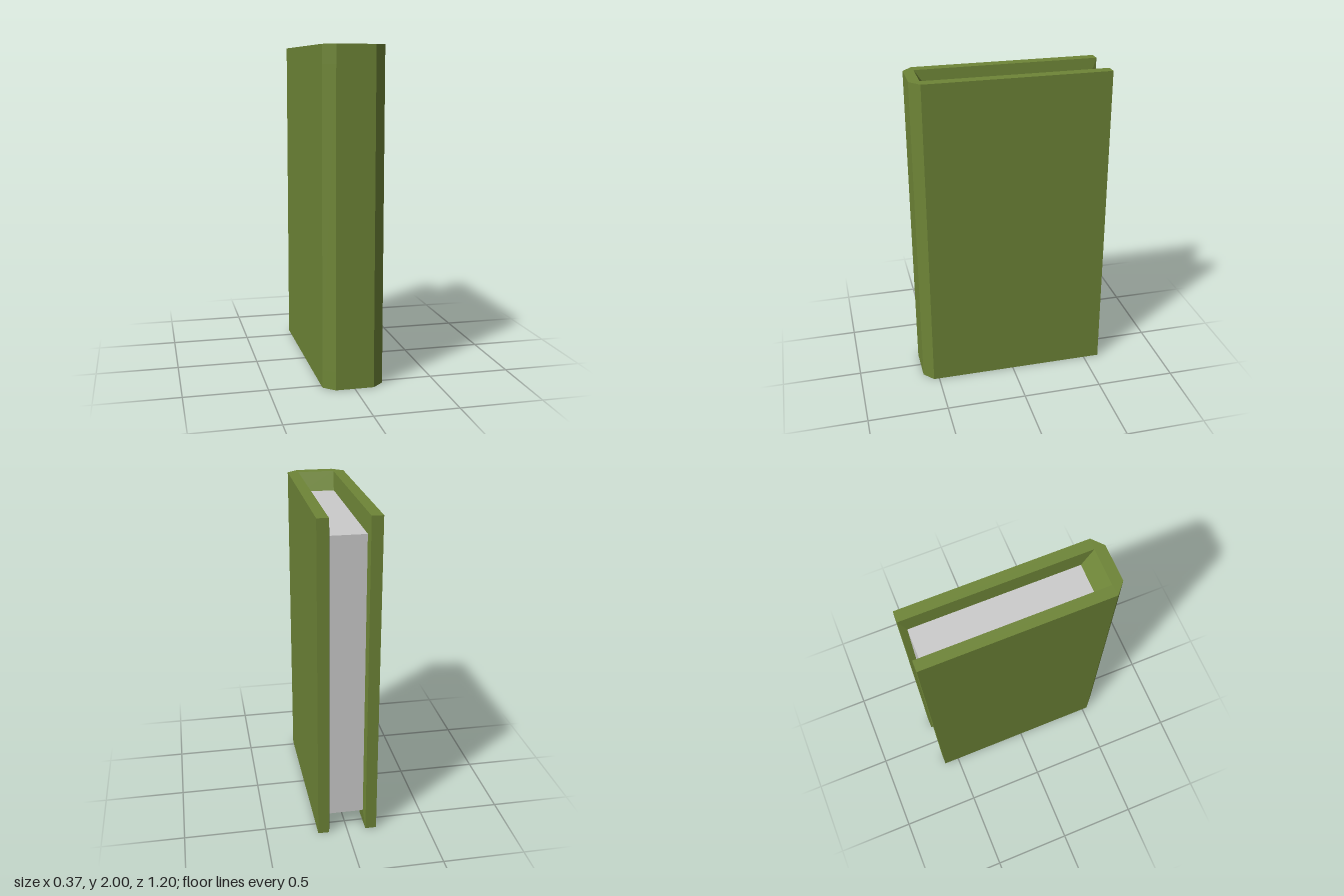
import * as THREE from 'three';

const HEIGHT = 2, INSET = 0.11;

// U-shaped cross-section, counterclockwise from above; the inner lip is either
// flush with the rim (ends of the book) or drawn in to meet the pages.
function section(y, flush) {
  const [x, back, front] = flush ? [0.115, -0.6, 0.53] : [0.105, -0.56, 0.455];
  return [
    [-0.183, -0.6], [-0.183, 0.535], [-0.115, 0.595], // right board and spine chamfer
    [0.115, 0.595], [0.183, 0.535], [0.183, -0.6],    // spine chamfer and left board
    [0.115, -0.6], [x, back], [x, front],             // inner left wall
    [-x, front], [-x, back], [-0.115, -0.6],          // inner right wall
  ].map(([px, pz]) => [px, y, pz]);
}

function coverGeometry() {
  const rings = [
    section(0, true), section(INSET, false),
    section(HEIGHT - INSET, false), section(HEIGHT, true),
  ];
  const n = rings[0].length;
  const index = [];
  const face = (a, b, c, d) => {
    index.push(a, b, c);
    if (d !== undefined) index.push(a, c, d);
  };

  // Walls between neighbouring sections
  for (let r = 0; r < rings.length - 1; r++) {
    for (let i = 0; i < n; i++) {
      const j = (i + 1) % n;
      face(r * n + i, r * n + j, (r + 1) * n + j, (r + 1) * n + i);
    }
  }

  // Top and bottom rims
  const rim = [[0, 1, 9, 11], [1, 2, 9], [2, 3, 8, 9], [3, 4, 8], [4, 5, 6, 8]];
  for (const corners of rim) {
    face(...corners.map((i) => i + 3 * n));
    face(...[...corners].reverse());
  }

  const indexed = new THREE.BufferGeometry();
  indexed.setAttribute('position', new THREE.Float32BufferAttribute(rings.flat(2), 3));
  indexed.setIndex(index);
  const geometry = indexed.toNonIndexed();
  geometry.computeVertexNormals();
  return geometry;
}

export function createModel() {
  const book = new THREE.Group();
  book.name = 'book';

  // Hard cover with chamfered spine
  const cover = new THREE.Mesh(
    coverGeometry(),
    new THREE.MeshStandardMaterial({ color: 0x6e8537, flatShading: true }),
  );
  cover.name = 'cover';

  // Page block, set in from the cover on three sides
  const pages = new THREE.Mesh(
    new THREE.BoxGeometry(0.21, HEIGHT - 2 * INSET, 1.015),
    new THREE.MeshStandardMaterial({ color: 0xcccccc, flatShading: true }),
  );
  pages.name = 'pages';
  pages.position.set(0, HEIGHT / 2, -0.0525);

  book.add(cover, pages);
  return book;
}
